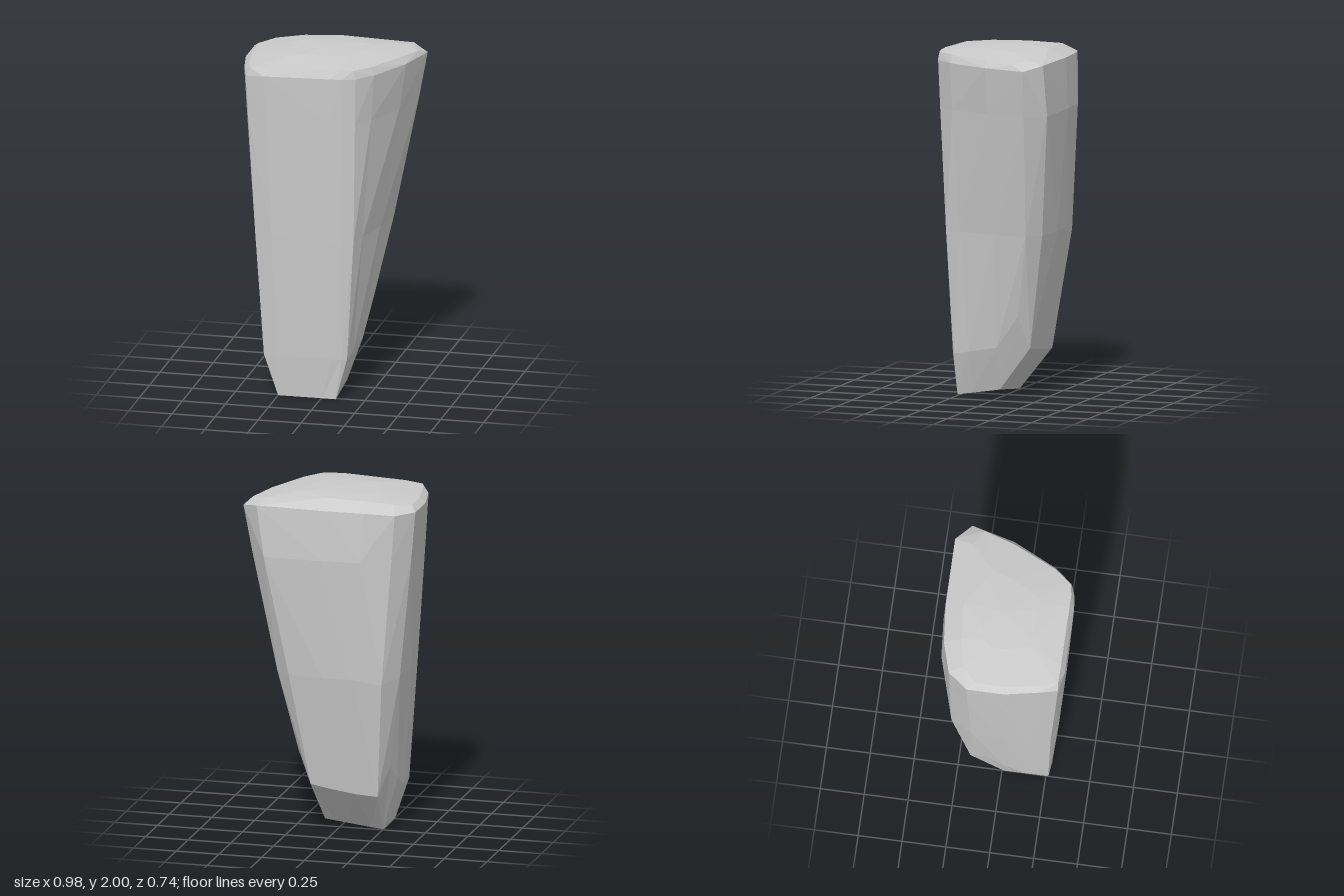
import * as THREE from 'three';

// Cross-sections: 15 [x, z, optional y] points, from the right back corner
// along the right side, the front, the left side and the back.
const section = (y, pts) => pts.map(([x, z, py = y]) => new THREE.Vector3(x, py, z));

const rim = section(1.92, [
  [-.49, -.17], [-.49, .045], [-.45, .25], [-.42, .343, 1.9], [-.31, .367, 1.91],
  [.07, .367], [.145, .36], [.215, .335], [.3, .235], [.425, -.02],
  [.49, -.27], [.39, -.355, 1.945], [0, -.355, 1.94], [-.23, -.333, 1.935], [-.4, -.283],
]);

const middle = section(.95, [
  [-.395, -.155], [-.41, .03], [-.405, .18], [-.375, .295], [-.27, .328],
  [.06, .328], [.13, .318], [.195, .295], [.225, .2], [.275, -.02],
  [.305, -.22], [.22, -.29], [.02, -.31], [-.16, -.305], [-.32, -.278, .92],
]);

const lower = section(.24, [
  [-.32, -.09, .4], [-.33, .03, .3], [-.335, .15], [-.33, .275], [-.25, .287],
  [.07, .287], [.12, .28], [.15, .265], [.163, .17, .26], [.178, 0, .29],
  [.205, -.14, .48], [.121, -.183, .29], [0, -.187, .27], [-.14, -.185, .25], [-.27, -.177],
]);

// Foot: a four-cornered base whose edges are divided to match the sections
function footSection() {
  const corners = section(0, [[-.25, .01], [-.25, .265], [.085, .265], [.09, .01, .04]]);
  const divisions = [3, 4, 3, 5];
  return corners.flatMap((c, i) => Array.from({ length: divisions[i] }, (_, k) =>
    c.clone().lerp(corners[(i + 1) % 4], k / divisions[i])));
}

// Shoulder: between middle and rim, with the back bulging out
const shoulder = rim.map((p, i) => {
  const q = middle[i].clone().lerp(p, .74);
  q.y = 1.65;
  if (q.z < -.3) q.z -= .025;
  return q;
});

// Bevelled top edge, then a shallow dome
const bevel = rim.map(({ x, z }) => {
  const bx = x * .93;
  return new THREE.Vector3(bx, 1.95 + .04 * (1 - (bx / .46) ** 2) - .04 * Math.max(0, z),
    z > 0 ? Math.min(z * .99, .342) : z * .71);
});
const peak = new THREE.Vector3(-.03, 2, -.02);
const dome = bevel.map((p) => {
  const q = p.clone().lerp(peak, .5);
  q.y = p.y + (2 - p.y) * .75;
  return q;
});

// Skin consecutive sections, folding each quad outward, and close both ends with fans
function loft(rings, bottom, top) {
  const n = rings[0].length;
  const points = [...rings.flat(), bottom, top];
  const index = [];
  const last = (rings.length - 1) * n;
  const plane = new THREE.Plane();
  for (let i = 0; i < n; i++) {
    const j = (i + 1) % n;
    for (let r = 0; r < last; r += n) {
      const [a, b, c, d] = [r + i, r + j, r + n + j, r + n + i];
      plane.setFromCoplanarPoints(points[a], points[b], points[c]);
      if (plane.distanceToPoint(points[d]) <= 0) index.push(a, b, c, a, c, d);
      else index.push(a, b, d, b, c, d);
    }
    index.push(j, i, last + n);
    index.push(last + i, last + j, last + n + 1);
  }
  const geometry = new THREE.BufferGeometry().setFromPoints(points);
  geometry.setIndex(index);
  const flat = geometry.toNonIndexed();
  flat.computeVertexNormals();
  return flat;
}

export function createModel() {
  const group = new THREE.Group();
  group.name = 'taperedStone';
  const material = new THREE.MeshStandardMaterial({ color: 0xcccccc, flatShading: true });
  const geometry = loft([footSection(), lower, middle, shoulder, rim, bevel, dome],
    new THREE.Vector3(-.08, .01, .14), peak);
  const stone = new THREE.Mesh(geometry, material);
  stone.name = 'stoneBody';
  group.add(stone);
  return group;
}
